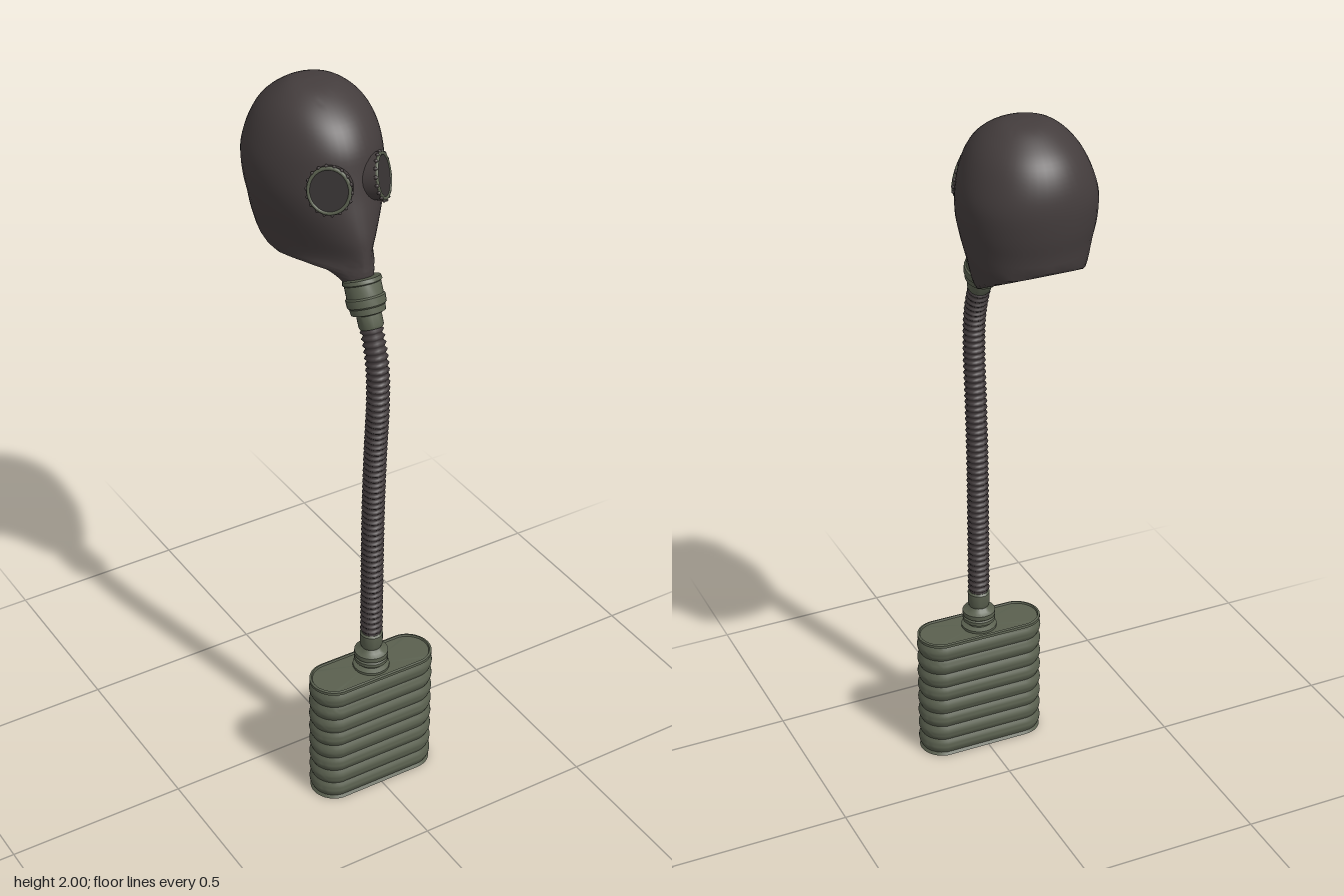
import * as THREE from 'three';
import { toCreasedNormals } from 'three/addons/utils/BufferGeometryUtils.js';

const rubber = new THREE.MeshStandardMaterial({ name: 'dark rubber', color: 0x443d3d });
const hoseRubber = new THREE.MeshStandardMaterial({ name: 'hose rubber', color: 0x3f3839 });
const metal = new THREE.MeshStandardMaterial({ name: 'green metal', color: 0x5a604f });
const glass = new THREE.MeshStandardMaterial({ name: 'dark glass', color: 0x383434 });

function add(parent, name, geometry, material, x = 0, y = 0, z = 0) {
  const mesh = new THREE.Mesh(geometry, material);
  mesh.name = name;
  mesh.position.set(x, y, z);
  parent.add(mesh);
  return mesh;
}

// Skin closed rings running upwards; pointAt(row, angle) returns [x, y, z]
function loft(rows, cols, pointAt, crease) {
  const pos = [], index = [];
  for (let i = 0; i < rows; i++) {
    for (let j = 0; j < cols; j++) {
      pos.push(...pointAt(i, (j / cols) * Math.PI * 2));
      if (i === rows - 1) continue;
      const k = (j + 1) % cols;
      const a = i * cols + j, b = i * cols + k, c = a + cols, d = b + cols;
      index.push(a, b, c, b, d, c);
    }
  }
  const g = new THREE.BufferGeometry();
  g.setAttribute('position', new THREE.Float32BufferAttribute(pos, 3));
  g.setIndex(index);
  return toCreasedNormals(g, crease);
}

function lathe(points, sides = 24) {
  const g = new THREE.LatheGeometry(points.map(([r, y]) => new THREE.Vector2(r, y)), sides);
  return toCreasedNormals(g, 0.6);
}

// Hood: tilted egg-shaped sections between a front and a back line
function hoodGeometry() {
  // front z, front y, back z, back y, half width, narrowing towards the front
  const sections = [
    [0.163, 1.55, 0.093, 1.523, 0.037, 0],
    [0.165, 1.562, 0.075, 1.535, 0.042, 0.1],
    [0.166, 1.575, 0.02, 1.558, 0.06, 0.35],
    [0.164, 1.59, -0.06, 1.556, 0.085, 0.5],
    [0.161, 1.62, -0.19, 1.545, 0.113, 0.5],
    [0.157, 1.66, -0.238, 1.62, 0.136, 0.38],
    [0.145, 1.71, -0.253, 1.70, 0.156, 0.26],
    [0.130, 1.765, -0.265, 1.76, 0.169, 0.18],
    [0.118, 1.82, -0.27, 1.82, 0.17, 0.15],
    [0.105, 1.875, -0.263, 1.875, 0.157, 0.1],
    [0.075, 1.925, -0.24, 1.925, 0.135, 0.05],
    [0.03, 1.963, -0.2, 1.963, 0.105, 0],
    [-0.03, 1.992, -0.145, 1.993, 0.06, 0],
    [-0.09, 2.0, -0.09, 2.0, 0, 0],
  ];
  const front = new THREE.CatmullRomCurve3(sections.map((s) => new THREE.Vector3(s[4], s[1], s[0])));
  const back = new THREE.CatmullRomCurve3(sections.map((s) => new THREE.Vector3(s[5], s[3], s[2])));
  const rows = 53;
  return loft(rows, 48, (i, t) => {
    const f = front.getPoint(i / (rows - 1)), b = back.getPoint(i / (rows - 1));
    const s = Math.cos(t), m = (1 + s) / 2;
    const x = Math.max(f.x, 0) * Math.sin(t) * (1 - b.x * s);
    let y = b.y + (f.y - b.y) * m, z = b.z + (f.z - b.z) * m;
    // Flat sloping cut at the neck
    const d = -(z + 0.238) * 0.447 - (y - 1.65) * 0.894;
    if (d > 0) { z += 0.447 * d; y += 0.894 * d; }
    return [x, Math.min(y, 2), z];
  }, 0.6);
}

function eyepiece(side) {
  const eye = new THREE.Group();
  eye.name = side > 0 ? 'leftEyepiece' : 'rightEyepiece';
  const disc = (r1, r2, h) => new THREE.CylinderGeometry(r1, r2, h, 32).rotateX(Math.PI / 2);
  add(eye, 'eyeFlange', disc(0.062, 0.056, 0.045), rubber, 0, 0, -0.0165);
  add(eye, 'eyeRim', new THREE.TorusGeometry(0.056, 0.005, 8, 32), metal, 0, 0, 0.007);
  add(eye, 'eyeGlass', disc(0.053, 0.053, 0.004), glass, 0, 0, 0.007);
  // Crimped teeth around the rim
  const tooth = new THREE.SphereGeometry(0.005, 8, 6);
  for (let i = 0; i < 18; i++) {
    const a = (i / 18) * Math.PI * 2;
    add(eye, 'rimTooth', tooth, rubber, 0.061 * Math.cos(a), 0.061 * Math.sin(a), 0.006);
  }
  eye.scale.x = 0.92;
  eye.rotation.set(-0.2, side * 0.75, 0, 'YXZ');
  eye.position.set(side * 0.072, 1.8, 0.108);
  return eye;
}

// Hose: tube whose radius swells into ribs
function hoseGeometry() {
  const path = new THREE.CatmullRomCurve3([
    [0.47, 0.204], [0.65, 0.204], [0.9, 0.206], [1.08, 0.213],
    [1.24, 0.222], [1.35, 0.215], [1.46, 0.178],
  ].map(([y, z]) => new THREE.Vector3(0, y, z)));
  const ribs = 58, steps = ribs * 4, sides = 14;
  const g = new THREE.TubeGeometry(path, steps, 1, sides);
  const p = g.attributes.position, v = new THREE.Vector3();
  for (let i = 0; i <= steps; i++) {
    const c = path.getPointAt(i / steps);
    const r = 0.0275 + 0.0035 * Math.cos((i / 4) * Math.PI * 2);
    for (let j = 0; j <= sides; j++) {
      const k = i * (sides + 1) + j;
      v.fromBufferAttribute(p, k).sub(c).multiplyScalar(r).add(c);
      p.setXYZ(k, v.x, v.y, v.z);
    }
  }
  g.computeVertexNormals();
  return g;
}

// Canister: stadium sections with rounded horizontal ribs
function canisterGeometry() {
  const profile = [[0, 0.004], [0.058, 0.004], [0.06, 0.002], [0.066, 0.002]];
  const ribs = 8, per = 6;
  for (let i = 0; i <= ribs * per; i++) {
    const u = i / (ribs * per);
    profile.push([0.0605 + 0.008 * Math.abs(Math.sin(u * ribs * Math.PI)), 0.01 + u * 0.36]);
  }
  profile.push([0.067, 0.372], [0.067, 0.38], [0.061, 0.382], [0.059, 0.377], [0, 0.377]);
  return loft(profile.length, 40, (i, t) => {
    const [r, y] = profile[i];
    const s = Math.sin(t + 0.001), c = Math.cos(t + 0.001);
    return [r * s + (r > 0 ? Math.sign(s) * 0.117 : 0), y, r * c];
  }, 0.7);
}

export function createModel() {
  const model = new THREE.Group();
  model.name = 'gasMask';

  add(model, 'hood', hoodGeometry(), rubber);
  model.add(eyepiece(1), eyepiece(-1));

  // Snout collar, tilted along the hose end
  const collar = add(model, 'snoutCollar', lathe([
    [0, 0], [0.029, 0], [0.032, 0.006], [0.032, 0.036], [0.044, 0.04], [0.046, 0.056],
    [0.05, 0.06], [0.051, 0.08], [0.047, 0.084], [0.047, 0.115], [0.051, 0.118], [0.049, 0.128], [0, 0.132],
  ]), metal, 0, 1.435, 0.189);
  collar.rotation.x = -0.4;

  add(model, 'hose', hoseGeometry(), hoseRubber);

  // Threaded fitting on top of the canister
  add(model, 'canisterFitting', lathe([
    [0.05, 0.376], [0.05, 0.384], [0.036, 0.39], [0.036, 0.396], [0.046, 0.4], [0.046, 0.41],
    [0.041, 0.413], [0.046, 0.417], [0.046, 0.43], [0.034, 0.436], [0.027, 0.445],
    [0.031, 0.455], [0.031, 0.488], [0.027, 0.493], [0, 0.493],
  ]), metal, 0, 0, 0.204);

  add(model, 'canister', canisterGeometry(), metal, 0, 0, 0.204);

  // Air inlet underneath
  add(model, 'inletRing', new THREE.TorusGeometry(0.034, 0.003, 8, 24).rotateX(Math.PI / 2), metal, 0, 0.003, 0.204);
  add(model, 'inletPlate', new THREE.CylinderGeometry(0.032, 0.032, 0.004, 24), glass, 0, 0.004, 0.204);

  return model;
}
